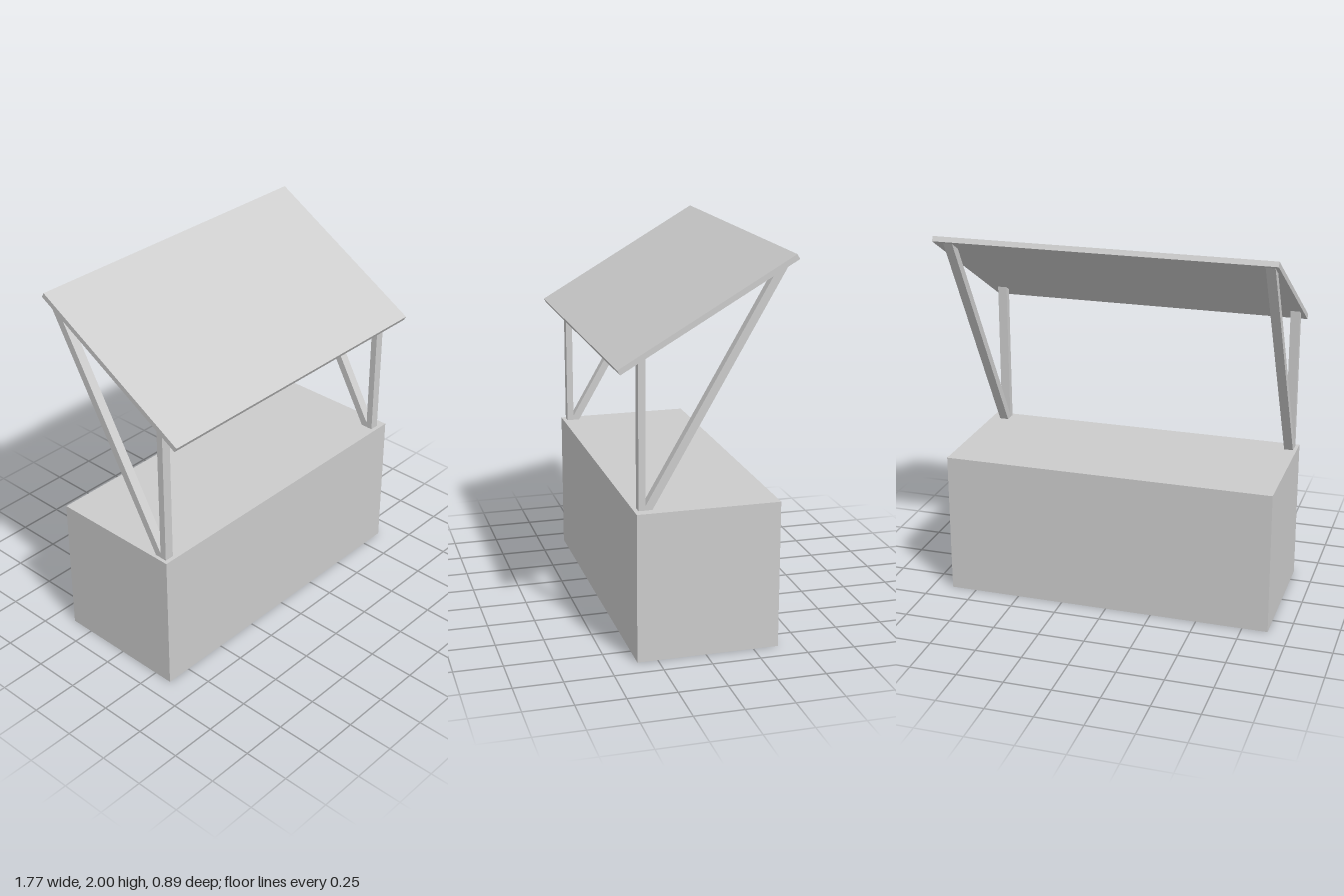
import * as THREE from 'three';

const material = new THREE.MeshStandardMaterial({ color: 0xcccccc, flatShading: true });
const openMaterial = new THREE.MeshStandardMaterial({ color: 0xcccccc, flatShading: true, side: THREE.DoubleSide });

const WIDTH = 1.775;
const COUNTER_TOP = 0.773;
const ROOF_Y = 1.7345;
const ROOF_THICKNESS = 0.028;
const TILT = Math.PI / 6;
const SLOPE = Math.tan(TILT);

// Height of the roof's underside at depth z
const underside = (z) => ROOF_Y - ROOF_THICKNESS / 2 / Math.cos(TILT) - z * SLOPE;

function addMesh(group, name, geometry, mat = material) {
  const mesh = new THREE.Mesh(geometry, mat);
  mesh.name = name;
  group.add(mesh);
  return mesh;
}

// Straight timber from a side profile of [z, y] corners, centred on x
function timber(profile, width) {
  const shape = new THREE.Shape(profile.map(([z, y]) => new THREE.Vector2(z, y)));
  const geometry = new THREE.ExtrudeGeometry(shape, { depth: width, bevelEnabled: false });
  geometry.translate(0, 0, -width / 2);
  return geometry.rotateY(-Math.PI / 2);
}

export function createModel() {
  const model = new THREE.Group();
  model.name = 'marketStall';

  // Counter: a hollow box, open underneath
  const counterGeometry = new THREE.BoxGeometry(WIDTH, COUNTER_TOP, 0.736);
  const index = Array.from(counterGeometry.index.array);
  index.splice(18, 6); // drop the bottom face
  counterGeometry.setIndex(index);
  counterGeometry.clearGroups();
  addMesh(model, 'counter', counterGeometry, openMaterial).position.set(0, COUNTER_TOP / 2, -0.013);

  // Sloping roof board
  const roof = addMesh(model, 'roof', new THREE.BoxGeometry(WIDTH, ROOF_THICKNESS, 1.014));
  roof.position.y = ROOF_Y;
  roof.rotation.x = TILT;

  // Upright post, cut to the slope of the roof
  const [front, back] = [0.333, 0.297];
  const post = timber([
    [front, COUNTER_TOP], [front, underside(front)],
    [back, underside(back)], [back, COUNTER_TOP],
  ], 0.05);

  // Brace leaning back at 60 degrees from the post's foot to the roof
  const braceTop = (z0) => {
    const z = (z0 - SLOPE * (underside(0) - COUNTER_TOP)) / (1 - SLOPE * SLOPE);
    return [z, underside(z)];
  };
  const [upper, lower] = [0.311, 0.263];
  const brace = timber([
    [upper, COUNTER_TOP], braceTop(upper), braceTop(lower), [lower, COUNTER_TOP],
  ], 0.048);

  for (const [side, x] of [['left', 0.812], ['right', -0.844]]) {
    addMesh(model, side + 'Post', post).position.x = x;
    addMesh(model, side + 'Brace', brace).position.x = x;
  }

  return model;
}
